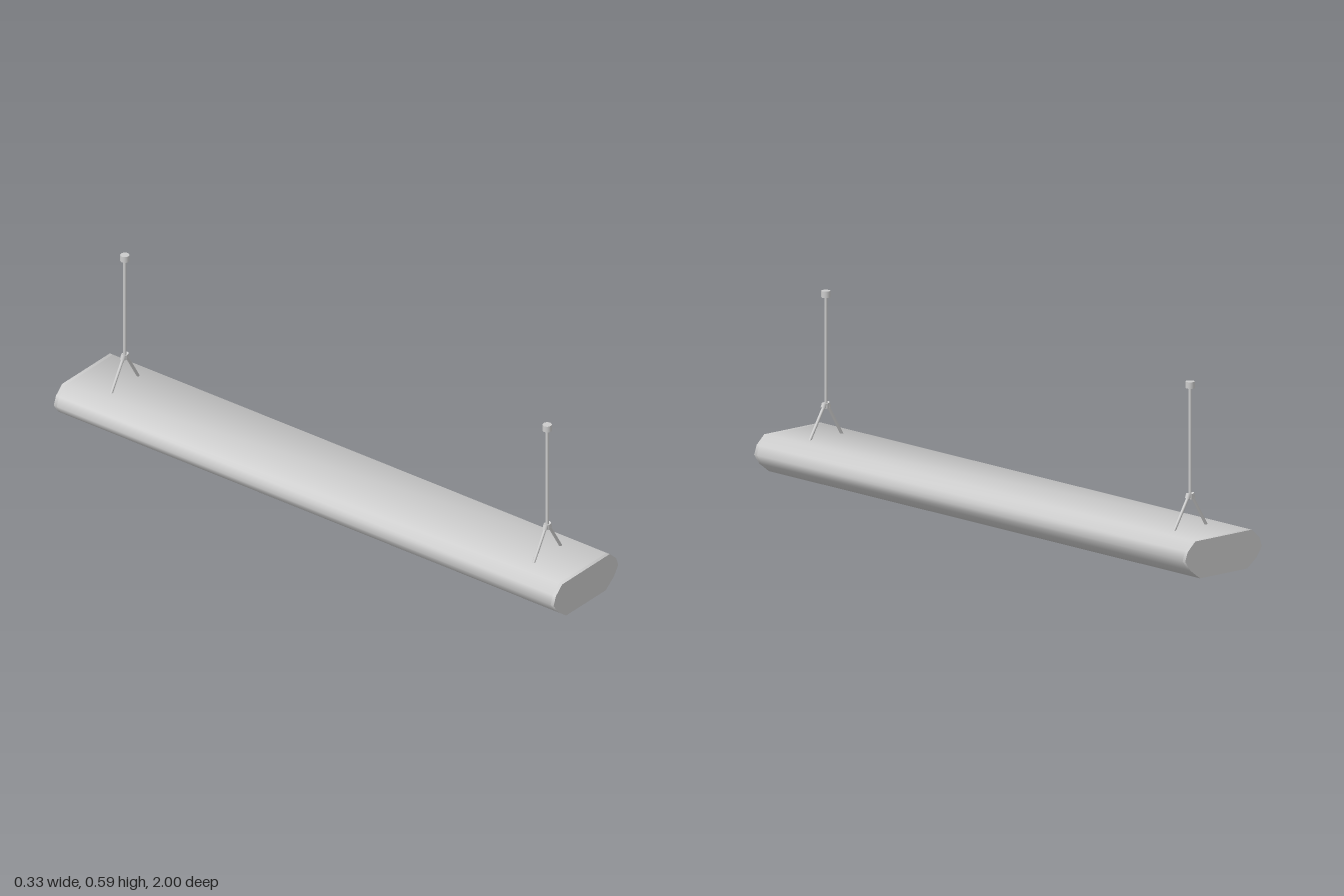
import * as THREE from 'three';
import { toCreasedNormals } from 'three/addons/utils/BufferGeometryUtils.js';

const material = new THREE.MeshStandardMaterial({ color: 0xcccccc });

function addMesh(parent, name, geometry, x = 0, y = 0, z = 0) {
  const mesh = new THREE.Mesh(geometry, material);
  mesh.name = name;
  mesh.position.set(x, y, z);
  parent.add(mesh);
  return mesh;
}

// Cylinder running between two points
function addRod(parent, name, from, to, radius, sides = 16) {
  const a = new THREE.Vector3(...from), b = new THREE.Vector3(...to);
  const dir = b.clone().sub(a);
  const mesh = addMesh(parent, name, new THREE.CylinderGeometry(radius, radius, dir.length(), sides));
  mesh.position.copy(a).add(b).multiplyScalar(0.5);
  mesh.quaternion.setFromUnitVectors(new THREE.Vector3(0, 1, 0), dir.normalize());
  return mesh;
}

// Right half of the housing section, bottom to top
const half = [[0.1, 0], [0.141, 0.031], [0.163, 0.063], [0.152, 0.093], [0.12, 0.122]];
const outline = [...half, ...half.map(([x, y]) => [-x, y]).reverse()];
const cavity = [[-0.092, 0], [-0.092, 0.09], [0.092, 0.09], [0.092, 0]];

function extrude(points, depth) {
  const shape = new THREE.Shape(points.map(([x, y]) => new THREE.Vector2(x, y)));
  const geometry = new THREE.ExtrudeGeometry(shape, { depth, bevelEnabled: false });
  geometry.translate(0, 0, -depth / 2);
  return toCreasedNormals(geometry, 1.05);
}

function createHanger() {
  const hanger = new THREE.Group();
  hanger.name = 'hanger';
  addRod(hanger, 'hangerRod', [0, 0.222, 0], [0, 0.58, 0], 0.005);
  addRod(hanger, 'ceilingCap', [0, 0.571, 0], [0, 0.592, 0], 0.0145, 24);
  addRod(hanger, 'hub', [0, 0.214, 0], [0, 0.231, 0], 0.01, 20);
  for (const s of [-1, 1]) {
    // Splayed arm with a collar where it meets the hub
    addRod(hanger, 'arm', [s * 0.006, 0.224, 0], [s * 0.072, 0.114, 0], 0.005);
    addRod(hanger, 'collar', [s * 0.0055, 0.231, 0], [s * 0.0115, 0.2155, 0], 0.0085);
  }
  return hanger;
}

export function createModel() {
  const model = new THREE.Group();
  model.name = 'pendantLight';

  // Channel-shaped housing, open below
  const length = 2, plate = 0.012;
  addMesh(model, 'housing', extrude([...outline, ...cavity], length - 2 * plate));
  for (const s of [-1, 1]) {
    addMesh(model, 'endPlate', extrude(outline, plate), 0, 0, s * (length - plate) / 2);
  }

  // Cross louvres hanging inside the channel
  const cells = 18;
  for (let i = 1; i < cells; i++) {
    addMesh(model, 'louvre', new THREE.BoxGeometry(0.188, 0.064, 0.01), 0, 0.06, -1 + (length * i) / cells);
  }

  // Hangers near both ends
  for (const s of [-1, 1]) {
    const hanger = createHanger();
    hanger.position.z = s * 0.845;
    model.add(hanger);
  }
  return model;
}
